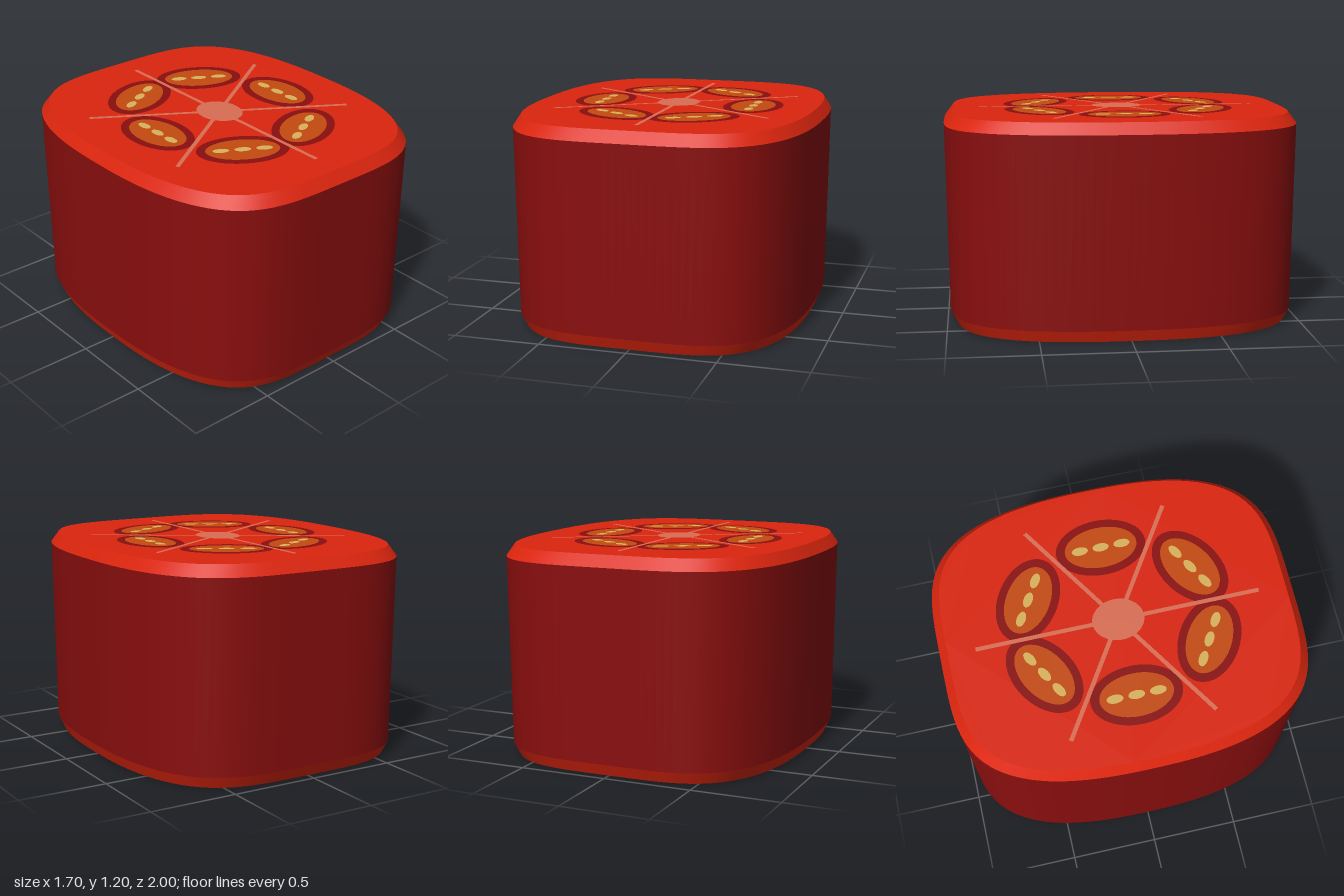
import * as THREE from 'three';

const mat = (name, color) => new THREE.MeshStandardMaterial({ name, color });

// Rounded-box outline: |x/a|^4 + |z/b|^2.5 = 1, sampled evenly by angle
const SIDES = 128, A = 0.85, B = 1;
const outline = Array.from({ length: SIDES }, (_, i) => {
  const t = (i / SIDES) * Math.PI * 2, c = Math.cos(t), s = Math.sin(t);
  let lo = 0.9, hi = 1.5;
  for (let k = 0; k < 30; k++) {
    const r = (lo + hi) / 2;
    if (Math.abs(r * c) ** 4 + Math.abs(r * s) ** 2.5 > 1) hi = r; else lo = r;
  }
  return [A * lo * c, B * lo * s];
});

// Smooth closed band between two scaled outlines
function band(y0, s0, y1, s1) {
  const pos = [], index = [];
  outline.forEach(([x, z], i) => {
    pos.push(x * s0, y0, z * s0, x * s1, y1, z * s1);
    const a = 2 * i, b = 2 * ((i + 1) % SIDES);
    index.push(a, a + 1, b, b, a + 1, b + 1);
  });
  const g = new THREE.BufferGeometry();
  g.setAttribute('position', new THREE.Float32BufferAttribute(pos, 3));
  g.setIndex(index);
  g.computeVertexNormals();
  return g;
}

// Flat ellipse facing up
function ellipse(rx, rz) {
  return new THREE.CircleGeometry(1, 48).scale(rx, rz, 1).rotateX(-Math.PI / 2);
}

export function createModel() {
  const skin = mat('dark red skin', 0x8a0e0e);
  const flesh = mat('red flesh', 0xdb250e);
  const gel = mat('orange gel', 0xc44a10);
  const seed = mat('pale seed', 0xd9b25c);
  const pith = mat('pink pith', 0xda6e54);

  const model = new THREE.Group();
  model.name = 'tomatoBlock';
  const add = (parent, name, geo, material, x = 0, y = 0, z = 0) => {
    const m = new THREE.Mesh(geo, material);
    m.name = name;
    m.position.set(x, y, z);
    parent.add(m);
    return m;
  };

  // Side wall and bevelled rims
  add(model, 'skinWall', band(0.07, 0.985, 1.133, 1), skin);
  add(model, 'topRim', band(1.133, 1, 1.196, 0.953), flesh);
  add(model, 'bottomRim', band(0.004, 0.953, 0.07, 0.985), flesh);

  // Cut face with core, veins and seed pockets, used on top and bottom
  const shape = new THREE.Shape(outline.map(([x, z]) => new THREE.Vector2(x * 0.953, z * 0.953)));
  const faceGeo = new THREE.ShapeGeometry(shape).rotateX(-Math.PI / 2);
  const ringGeo = ellipse(0.168, 0.255), gelGeo = ellipse(0.123, 0.205);
  const seedGeo = ellipse(0.025, 0.046), coreGeo = ellipse(0.122, 0.145);

  for (const side of ['top', 'bottom']) {
    const face = new THREE.Group();
    face.name = side + 'Face';
    face.position.y = 0.6;
    if (side === 'bottom') face.rotation.x = Math.PI;
    model.add(face);
    add(face, 'cutFlesh', faceGeo, flesh, 0, 0.596, 0);
    add(face, 'core', coreGeo, pith, 0, 0.6, 0);

    for (let i = 0; i < 6; i++) {
      // Vein from the core outward
      const v = (i + 0.5) * Math.PI / 3;
      const vx = 0.72 * Math.cos(v), vz = 0.8 * Math.sin(v), len = Math.hypot(vx, vz);
      const veinGeo = new THREE.PlaneGeometry(len, 0.024).rotateX(-Math.PI / 2);
      add(face, 'vein', veinGeo, pith, vx / 2, 0.599, vz / 2).rotation.y = -Math.atan2(vz, vx);

      // Pocket with gel and three seeds
      const p = i * Math.PI / 3;
      const pocket = new THREE.Group();
      pocket.name = 'seedPocket';
      pocket.position.set(0.447 * Math.cos(p), 0, 0.533 * Math.sin(p));
      pocket.rotation.y = -p;
      face.add(pocket);
      add(pocket, 'pocketRing', ringGeo, skin, 0, 0.597, 0);
      add(pocket, 'gel', gelGeo, gel, 0, 0.598, 0);
      for (const k of [-1, 0, 1]) add(pocket, 'seed', seedGeo, seed, 0, 0.599, k * 0.12);
    }
  }
  return model;
}
